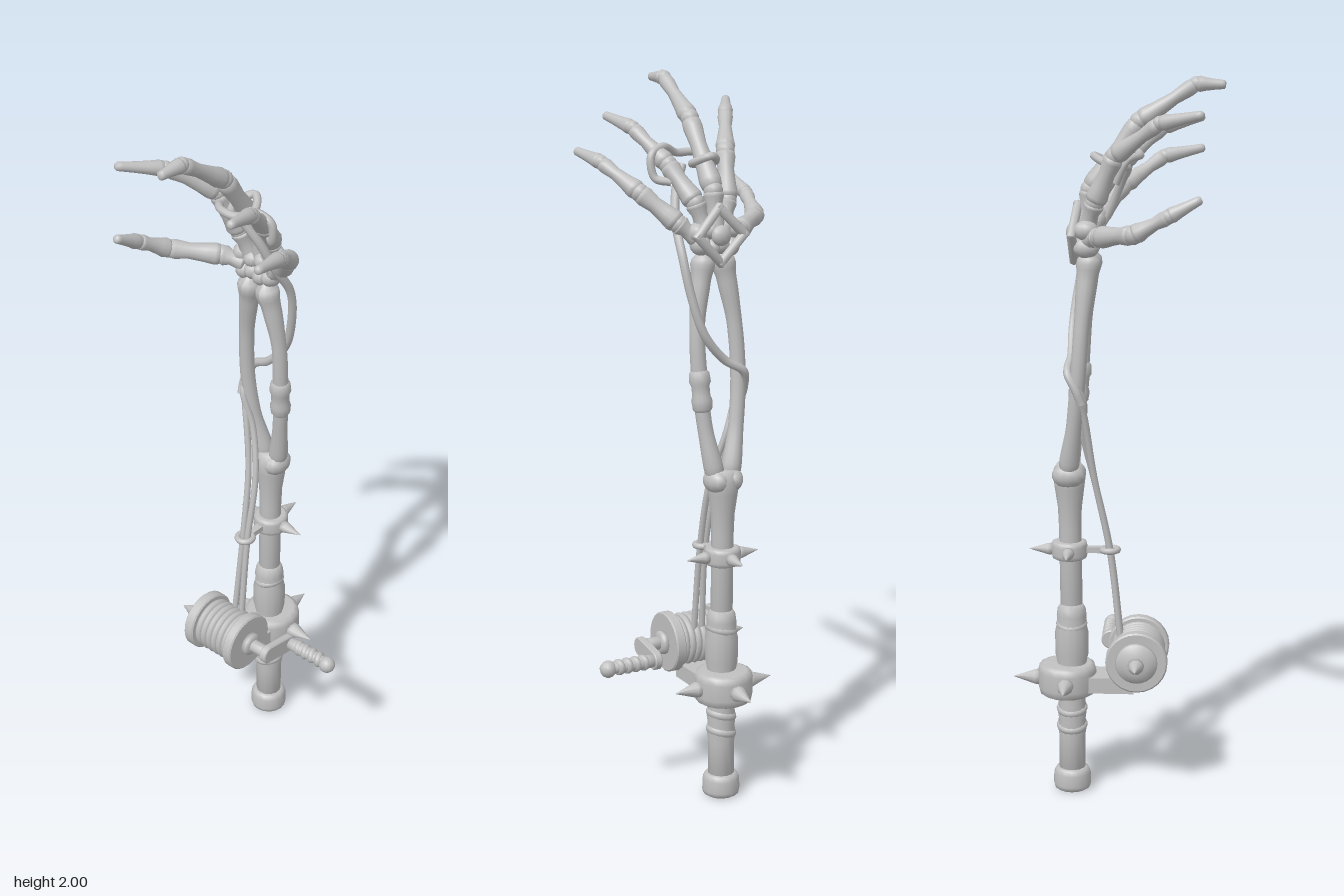
import * as THREE from 'three';

export function createModel() {
  const root = new THREE.Group();
  const grey = new THREE.MeshStandardMaterial({ color: 0xc0c0c0 });
  grey.name = 'bone grey';
  const V = (p) => new THREE.Vector3(p[0], p[1], p[2]);

  const add = (name, geometry, position = [0, 0, 0]) => {
    const mesh = new THREE.Mesh(geometry, grey);
    mesh.name = name;
    mesh.position.set(...position);
    root.add(mesh);
    return mesh;
  };

  // Turned part from a to b; profile holds [fraction along, radius]
  const turned = (name, a, b, profile, sides = 14) => {
    const dir = V(b).sub(V(a));
    const length = dir.length();
    const points = profile.map(([t, r]) => new THREE.Vector2(r, t * length));
    points.unshift(new THREE.Vector2(0, points[0].y));
    points.push(new THREE.Vector2(0, points[points.length - 1].y));
    const mesh = add(name, new THREE.LatheGeometry(points, sides), a);
    mesh.quaternion.setFromUnitVectors(new THREE.Vector3(0, 1, 0), dir.normalize());
    return mesh;
  };

  const rope = (name, points, radius, closed = false) => {
    const curve = new THREE.CatmullRomCurve3(points.map(V), closed, 'centripetal');
    add(name, new THREE.TubeGeometry(curve, points.length * 8, radius, 8, closed));
  };

  // Swept bone with a changing radius; each point is [x, y, z, radius]
  const bone = (name, points, sides = 12) => {
    const curve = new THREE.CatmullRomCurve3(points.map(V), false, 'centripetal');
    const steps = (points.length - 1) * 6;
    const g = new THREE.TubeGeometry(curve, steps, 1, sides, false);
    const pos = g.attributes.position;
    const centre = new THREE.Vector3(), v = new THREE.Vector3();
    for (let i = 0; i <= steps; i++) {
      const u = i / steps;
      curve.getPointAt(u, centre);
      const f = curve.getUtoTmapping(u) * (points.length - 1);
      const k = Math.min(Math.floor(f), points.length - 2);
      const r = THREE.MathUtils.lerp(points[k][3], points[k + 1][3], THREE.MathUtils.smoothstep(f - k, 0, 1));
      for (let j = 0; j <= sides; j++) {
        const n = i * (sides + 1) + j;
        v.fromBufferAttribute(pos, n).sub(centre).multiplyScalar(r).add(centre);
        pos.setXYZ(n, v.x, v.y, v.z);
      }
    }
    g.computeVertexNormals();
    add(name, g);
  };

  const blob = (name, p, rx, ry = rx, rz = rx) => {
    add(name, new THREE.SphereGeometry(1, 12, 9), p).scale.set(rx, ry, rz);
  };

  const X = -0.042, Z = -0.125;

  // Pommel, grip and shaft
  turned('pommel', [X, 0, Z], [X, 0.065, Z],
    [[0, 0.042], [0.08, 0.05], [0.25, 0.053], [0.75, 0.052], [0.95, 0.046], [1, 0.037]], 16);
  turned('grip', [X, 0.05, Z], [X, 0.55, Z],
    [[0, 0.037], [0.22, 0.037], [0.27, 0.041], [0.32, 0.038], [0.36, 0.041], [0.42, 0.038], [0.5, 0.04],
      [0.64, 0.04], [0.7, 0.046], [0.83, 0.047], [0.88, 0.041], [0.93, 0.042], [0.97, 0.039], [1, 0.03]]);
  for (const y of [0.19, 0.24, 0.42, 0.49]) {
    const wrap = add('gripWrap', new THREE.TorusGeometry(0.031, 0.013, 10, 20), [X, y, Z]);
    wrap.rotation.set(Math.PI / 2, 0.25, 0);
  }
  turned('upperArmBone', [X, 0.53, Z], [X, 0.95, -0.13],
    [[0, 0.031], [0.55, 0.031], [0.7, 0.033], [0.84, 0.041], [0.93, 0.046], [1, 0.034]]);
  for (const side of [-1, 1]) blob('elbowKnob', [X + side * 0.022, 0.92, -0.13], 0.033, 0.035, 0.046);

  // Spiked collars
  const collar = (name, y, z, r, h, reach, spikeR) => {
    turned(name, [X, y - h / 2, z], [X, y + h / 2, z],
      [[0, r * 0.85], [0.06, r * 0.95], [0.25, r], [0.75, r], [0.94, r * 0.95], [1, r * 0.8]], 16);
    for (const [dx, dz] of [[1, 0], [-1, 0], [0, -1]]) {
      turned(name + 'Spike', [X + dx * r * 0.85, y, z + dz * r * 0.85], [X + dx * reach, y, z + dz * reach],
        [[0, spikeR], [0.25, spikeR * 0.9], [1, 0.0005]], 10);
    }
  };
  collar('lowerCollar', 0.33, -0.138, 0.082, 0.09, 0.152, 0.024);
  collar('upperCollar', 0.705, -0.13, 0.05, 0.05, 0.112, 0.018);

  // Cord guide on the upper collar
  add('guideArm', new THREE.BoxGeometry(0.022, 0.016, 0.06), [X, 0.705, -0.06]);
  add('guideRing', new THREE.TorusGeometry(0.022, 0.009, 8, 18), [X, 0.705, -0.018]).rotation.x = Math.PI / 2;

  // Reel and its bracket
  const RY = 0.407, RZ = 0.06;
  add('reelBracket', new THREE.BoxGeometry(0.1, 0.045, 0.14), [X, 0.323, -0.02]);
  const onAxis = (name, x0, x1, profile, sides = 24) => turned(name, [x0, RY, RZ], [x1, RY, RZ], profile, sides);
  const disc = (r) => [[0, r - 0.004], [0, r - 0.004], [0.12, r], [0.12, r], [0.88, r], [0.88, r], [1, r - 0.004], [1, r - 0.004]];
  onAxis('reelFlangeRight', -0.137, -0.105, disc(0.086));
  onAxis('reelFlangeLeft', 0.012, 0.042, disc(0.086));
  onAxis('reelCore', -0.11, 0.02, [[0, 0.062], [1, 0.062]]);
  for (let i = 0; i < 6; i++) {
    add('reelCoil', new THREE.TorusGeometry(0.065, 0.0105, 8, 28), [-0.096 + i * 0.0197, RY, RZ]).rotation.y = Math.PI / 2;
  }
  onAxis('reelCap', -0.13, -0.16, [[0, 0.062], [0.5, 0.055], [1, 0.03]]);
  onAxis('reelSpike', -0.155, -0.218, [[0, 0.024], [0.3, 0.02], [1, 0.0005]], 10);
  onAxis('crankHub', 0.038, 0.06, [[0, 0.035], [0.7, 0.033], [1, 0.022]]);
  onAxis('crankAxle', 0.05, 0.11, [[0, 0.019], [1, 0.019]], 12);

  // Crank arm with rounded ends
  const arm = new THREE.Shape();
  arm.absarc(0.045, 0, 0.024, Math.PI / 2, -Math.PI / 2, true);
  arm.absarc(-0.04, 0, 0.024, -Math.PI / 2, -Math.PI * 1.5, true);
  const armGeo = new THREE.ExtrudeGeometry(arm, { depth: 0.016, bevelSize: 0.003, bevelThickness: 0.003, bevelSegments: 1 });
  add('crankArm', armGeo, [0.105, 0.4, 0.02]).rotation.set(0, Math.PI / 2, -0.16);

  // Crank handle with twisted grip and ball end
  turned('crankHandle', [0.115, 0.394, -0.03], [0.25, 0.394, -0.03],
    [[0, 0.018], [0.2, 0.019], [0.28, 0.02], [1, 0.016]]);
  for (let i = 0; i < 4; i++) {
    const twist = add('crankTwist', new THREE.TorusGeometry(0.012, 0.011, 10, 18), [0.155 + i * 0.025, 0.394, -0.03]);
    twist.rotation.set(0, Math.PI / 2 + 0.35, 0);
  }
  blob('crankKnob', [0.261, 0.393, -0.028], 0.024);

  // Forearm bones
  bone('forearmBoneRight', [[-0.058, 0.9, -0.13, 0.01], [-0.068, 0.95, -0.128, 0.028], [-0.092, 1.07, -0.112, 0.021],
    [-0.104, 1.2, -0.1, 0.021], [-0.098, 1.34, -0.09, 0.021], [-0.08, 1.46, -0.078, 0.027], [-0.072, 1.51, -0.072, 0.034], [-0.07, 1.55, -0.07, 0.005]]);
  bone('forearmBoneLeft', [[-0.026, 0.9, -0.13, 0.01], [-0.015, 0.95, -0.128, 0.027], [0.005, 1.07, -0.112, 0.021],
    [0.015, 1.2, -0.1, 0.022], [0.017, 1.34, -0.09, 0.021], [0, 1.46, -0.078, 0.027], [-0.01, 1.51, -0.072, 0.034], [-0.012, 1.55, -0.07, 0.005]]);
  turned('forearmBinding', [0.009, 1.11, -0.108], [0.016, 1.225, -0.098],
    [[0, 0.02], [0.08, 0.027], [0.28, 0.029], [0.38, 0.025], [0.62, 0.025], [0.72, 0.03], [0.92, 0.028], [1, 0.02]]);

  // Wrist bones in two rows
  for (let i = 0; i < 4; i++) {
    blob('wristBone', [-0.086 + i * 0.029, 1.55 + (i % 2) * 0.008, -0.078], 0.027, 0.028, 0.036);
    blob('palmBone', [-0.096 + i * 0.036, 1.597 - (i % 2) * 0.006, -0.078], 0.027, 0.027, 0.034);
  }

  // Fingers: knuckle chain from the wrist to the tip
  const fingers = {
    thumb: [[-0.085, 1.57, -0.07], [-0.14, 1.585, -0.04], [-0.245, 1.605, 0.055], [-0.267, 1.655, 0.145], [-0.262, 1.7, 0.23]],
    indexFinger: [[-0.07, 1.59, -0.08], [-0.092, 1.67, -0.055], [-0.118, 1.795, 0], [-0.185, 1.885, 0.12], [-0.25, 1.912, 0.233]],
    middleFinger: [[-0.042, 1.59, -0.085], [-0.042, 1.7, -0.07], [-0.042, 1.88, 0.06], [-0.043, 1.978, 0.21], [-0.043, 1.976, 0.288]],
    ringFinger: [[-0.015, 1.59, -0.08], [0.01, 1.67, -0.065], [0.05, 1.765, 0.012], [0.1, 1.855, 0.12], [0.13, 1.882, 0.23]],
    littleFinger: [[0.008, 1.575, -0.075], [0.055, 1.615, -0.055], [0.135, 1.695, 0.012], [0.195, 1.768, 0.12], [0.217, 1.79, 0.23]],
  };
  const startR = [0.026, 0.03, 0.027, 0.021];
  const endR = [0.029, 0.028, 0.022, 0.013];
  for (const [name, p] of Object.entries(fingers)) {
    for (let i = 0; i < 4; i++) {
      const a = startR[i], b = endR[i];
      const waist = i === 3 ? b * 1.1 : Math.min(a, b) * 0.78;
      turned(name + 'Bone', p[i], p[i + 1],
        [[0, a * 0.6], [0.05, a * 0.92], [0.13, a], [0.32, (waist + a) / 2], [0.62, waist],
          [0.86, b * 0.95], [0.95, b * 0.9], [1, b * 0.5]], 12);
      if (i < 3) blob(name + 'Joint', p[i + 1], b * 0.9);
    }
  }

  // Diamond of cord on the back of the hand
  const dc = [X, 1.585, -0.115];
  const corners = [[0, -0.073, 0.002], [0.07, 0, 0], [0, 0.073, 0.012], [-0.07, 0, 0]].map((c) => c.map((n, k) => n + dc[k]));
  corners.forEach((c, i) => turned('backDiamond', c, corners[(i + 1) % 4], [[-0.07, 0.013], [1.07, 0.013]], 8));
  blob('diamondStud', dc, 0.028, 0.028, 0.02);

  // Cord from the reel, around the forearm, up to the hand
  rope('mainCord', [[-0.055, 0.45, 0.012], [-0.05, 0.7, -0.017], [-0.066, 0.92, -0.06], [-0.1, 1.1, -0.085], [-0.12, 1.16, -0.1]], 0.009);
  rope('secondCord', [[-0.03, 0.45, 0.012], [-0.033, 0.7, -0.017], [-0.04, 0.9, -0.06], [-0.075, 1.04, -0.088], [-0.108, 1.14, -0.085], [-0.12, 1.18, -0.105]], 0.009);
  rope('upperCord', [[-0.118, 1.13, -0.09], [-0.12, 1.17, -0.105], [-0.105, 1.215, -0.128], [-0.05, 1.25, -0.122], [0.01, 1.32, -0.122],
    [0.043, 1.42, -0.11], [0.058, 1.53, -0.085], [0.05, 1.62, -0.03], [0.03, 1.7, 0.005], [-0.002, 1.76, 0.03]], 0.012);

  // Cord woven between the fingers
  rope('fingerCord', [[-0.08, 1.72, 0.0], [-0.085, 1.78, 0.03], [-0.05, 1.79, 0.06], [0, 1.79, 0.06], [0.05, 1.81, 0.04],
    [0.09, 1.79, 0.03], [0.085, 1.73, 0.02], [0.05, 1.72, -0.01]], 0.011);
  rope('fingerLoop', [[-0.075, 1.77, -0.02], [-0.042, 1.76, 0.03], [-0.01, 1.77, -0.02], [-0.042, 1.79, -0.06]], 0.011, true);

  return root;
}
